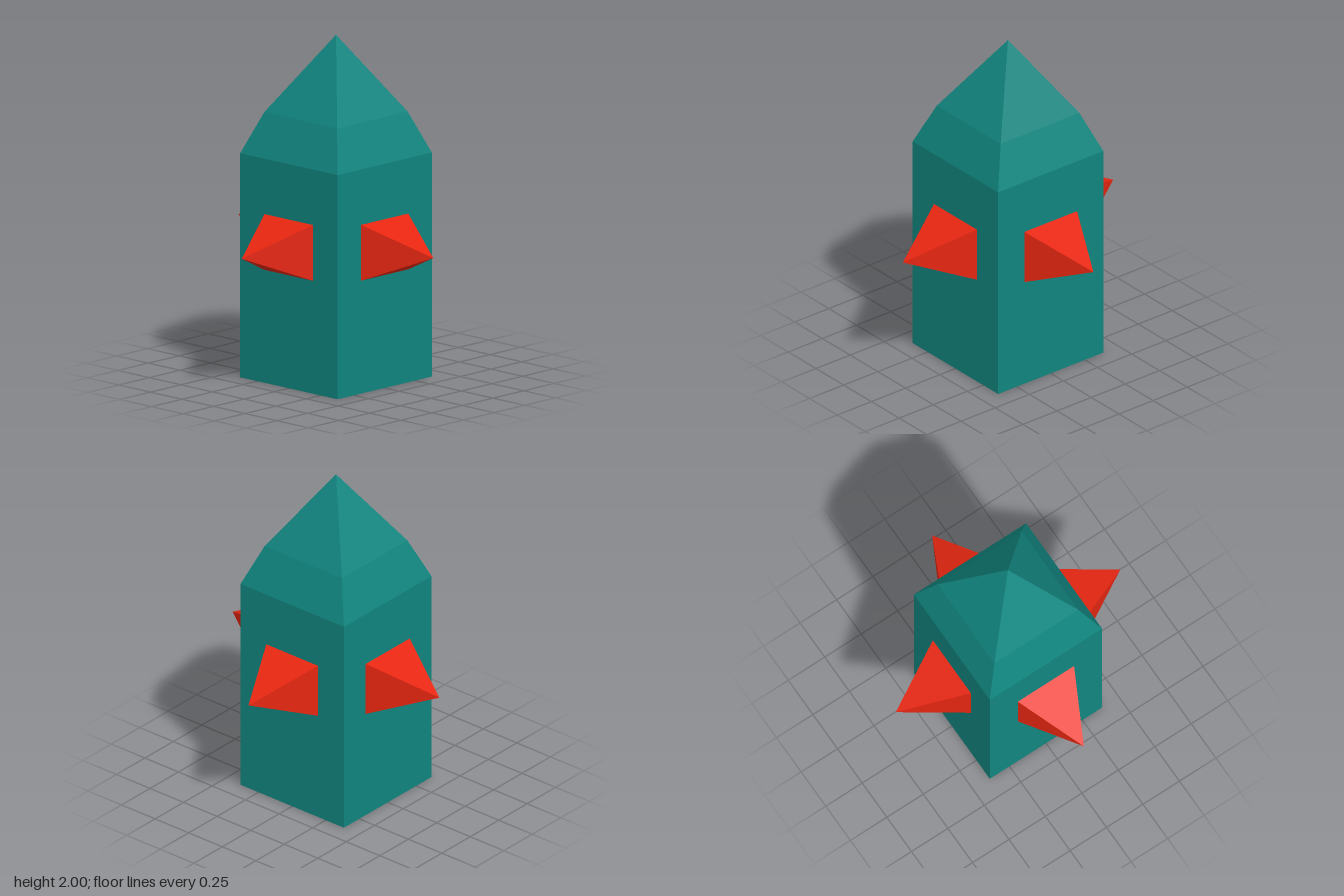
import * as THREE from 'three';

const teal = new THREE.MeshStandardMaterial({ color: 0x11857f });
teal.name = 'teal';
const red = new THREE.MeshStandardMaterial({ color: 0xe62611 });
red.name = 'red';

// Square frustum with faces square to the axes, standing on y = 0, flat normals
function frustum(bottom, top, height, open = false) {
  const g = new THREE.CylinderGeometry(
    top * Math.SQRT2, bottom * Math.SQRT2, height, 4, 1, open, Math.PI / 4
  ).toNonIndexed();
  g.translate(0, height / 2, 0);
  g.computeVertexNormals();
  return g;
}

function addMesh(group, name, geometry, material, y) {
  const mesh = new THREE.Mesh(geometry, material);
  mesh.name = name;
  mesh.position.y = y;
  group.add(mesh);
  return mesh;
}

export function createModel() {
  const model = new THREE.Group();
  model.name = 'spikedTower';

  const half = 0.385;         // half width of the tower
  const bodyTop = 1.31;
  const shoulderTop = 1.55;
  const shoulderHalf = 0.288;

  // Tower: square shaft, sloping shoulder, pointed roof
  const body = new THREE.BoxGeometry(half * 2, bodyTop, half * 2);
  addMesh(model, 'body', body, teal, bodyTop / 2);
  addMesh(model, 'shoulder', frustum(half, shoulderHalf, shoulderTop - bodyTop, true), teal, bodyTop);
  addMesh(model, 'roof', frustum(shoulderHalf, 0, 2 - shoulderTop, true), teal, shoulderTop);

  // Four pyramid spikes, one on each side
  const spike = frustum(0.193, 0, 0.385);
  spike.scale(1, 1, 0.163 / 0.193);
  spike.rotateX(Math.PI / 2);
  spike.translate(0, 0, half);
  spike.computeVertexNormals();
  ['frontSpike', 'leftSpike', 'backSpike', 'rightSpike'].forEach((name, i) => {
    addMesh(model, name, spike, red, 0.823).rotation.y = i * Math.PI / 2;
  });

  return model;
}
